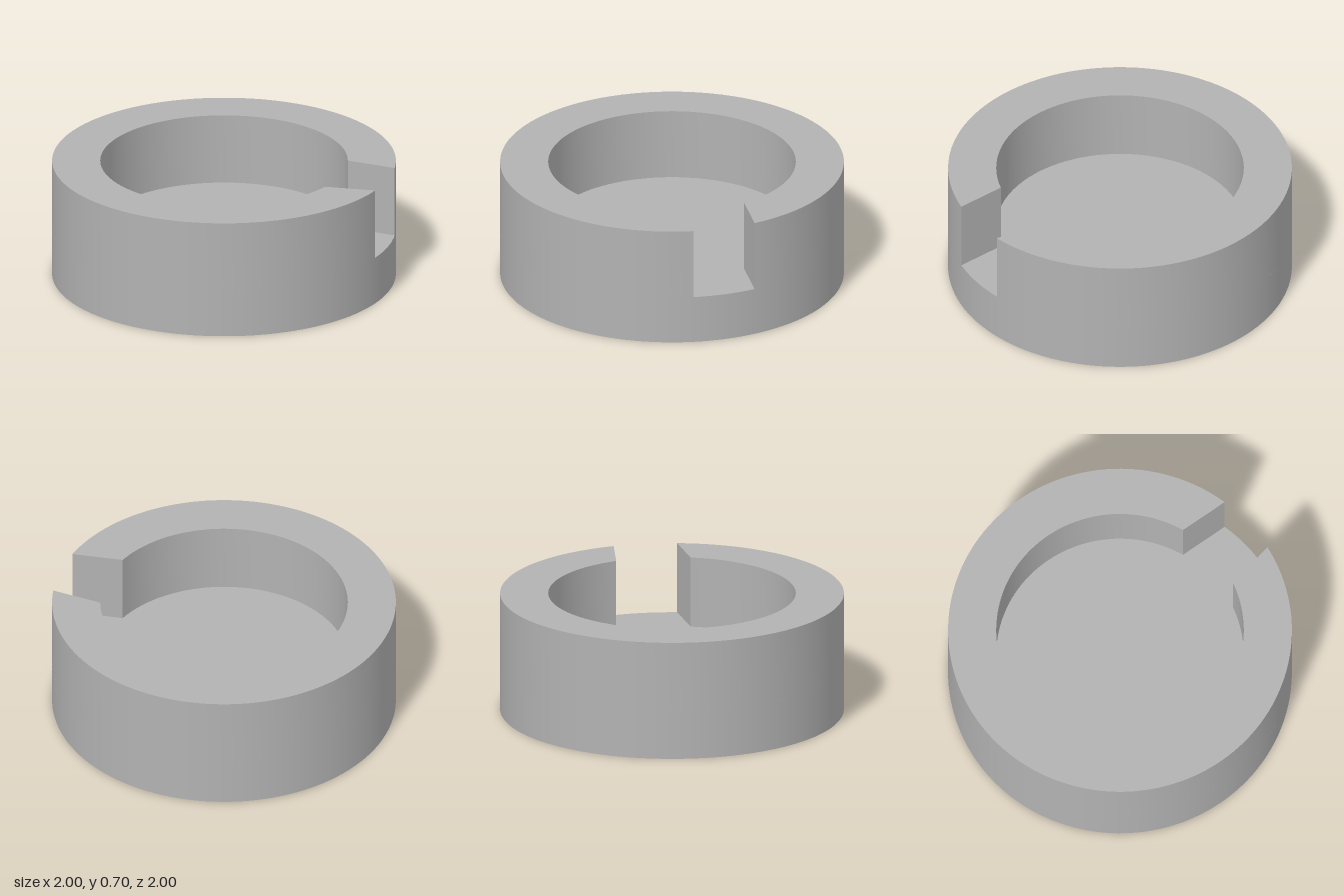
import * as THREE from 'three';
import { toCreasedNormals } from 'three/addons/utils/BufferGeometryUtils.js';

const OUTER = 1, INNER = 0.72;
const FLOOR = 0.285, HEIGHT = 0.705;
// half angles of the wall opening, which narrows slightly towards the outside
const OUTER_GAP = Math.asin(0.187 / OUTER);
const INNER_GAP = Math.asin(0.219 / INNER);

export function createModel() {
  const model = new THREE.Group();
  const grey = new THREE.MeshStandardMaterial({ color: 0xb2b2b2 });
  grey.name = 'grey';

  // solid round base, its top is the floor of the cup
  const baseGeometry = new THREE.CylinderGeometry(OUTER, OUTER, FLOOR, 128);
  baseGeometry.translate(0, FLOOR / 2, 0);
  const base = new THREE.Mesh(baseGeometry, grey);
  base.name = 'base';
  model.add(base);

  // C-shaped wall, open on the +x side
  const outline = new THREE.Shape();
  outline.absarc(0, 0, OUTER, OUTER_GAP, 2 * Math.PI - OUTER_GAP, false);
  outline.absarc(0, 0, INNER, 2 * Math.PI - INNER_GAP, INNER_GAP, true);
  outline.closePath();
  const wallGeometry = new THREE.ExtrudeGeometry(outline, {
    depth: HEIGHT - FLOOR, bevelEnabled: false, curveSegments: 64,
  });
  wallGeometry.rotateX(-Math.PI / 2);
  wallGeometry.translate(0, FLOOR, 0);
  const wall = new THREE.Mesh(toCreasedNormals(wallGeometry, Math.PI / 6), grey);
  wall.name = 'notchedWall';
  model.add(wall);

  return model;
}
